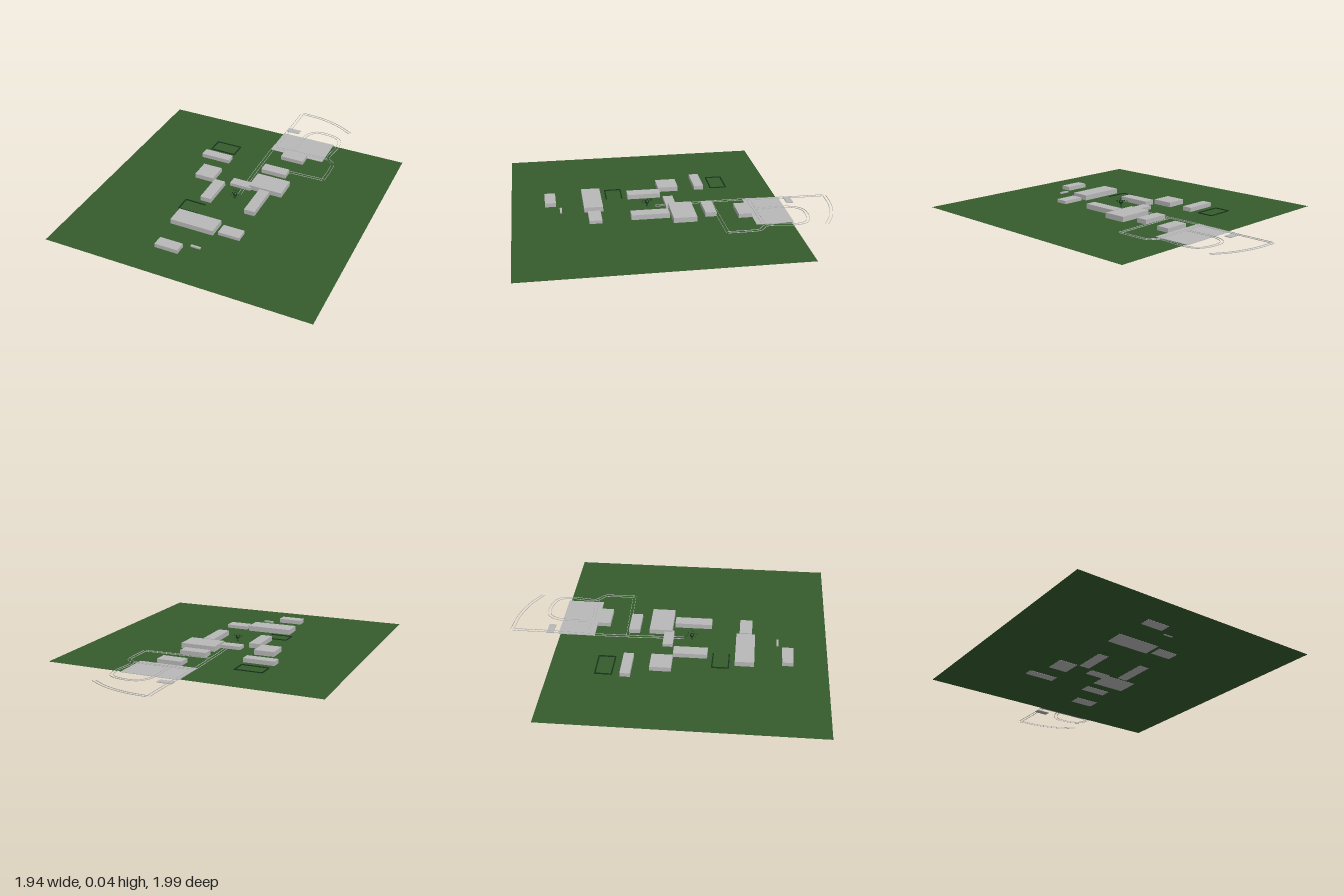
import * as THREE from 'three';

const ANGLE = -0.31; // the whole site is turned by this about y

export function createModel() {
  const model = new THREE.Group();
  model.name = 'campus';
  const mat = (name, color, side = THREE.FrontSide) => {
    const m = new THREE.MeshStandardMaterial({ color, side });
    m.name = name;
    return m;
  };
  const grass = mat('grass green', 0x355c2d, THREE.DoubleSide);
  const concrete = mat('concrete grey', 0xb8b8b8);
  const hedge = mat('dark green', 0x17331a);

  const block = (name, x, z, w, d, h, material = concrete, y = 0, turn = ANGLE) => {
    const mesh = new THREE.Mesh(new THREE.BoxGeometry(w, h, d), material);
    mesh.position.set(x, y + h / 2, z);
    mesh.rotation.y = turn;
    mesh.name = name;
    model.add(mesh);
    return mesh;
  };

  // Lawn
  const lawn = new THREE.Mesh(new THREE.PlaneGeometry(1.54, 1.54).rotateX(-Math.PI / 2), grass);
  lawn.position.set(0, 0.001, 0.025);
  lawn.rotation.y = ANGLE;
  lawn.name = 'lawn';
  model.add(lawn);

  // Buildings: x, z, width, depth, height
  [
    [-0.161, -0.386, 0.18, 0.057, 0.025],
    [-0.188, -0.198, 0.117, 0.12, 0.028],
    [-0.135, -0.018, 0.066, 0.193, 0.028],
    [0.024, -0.11, 0.13, 0.058, 0.02],
    [0.185, -0.111, 0.204, 0.133, 0.031],
    [0.13, 0.066, 0.064, 0.215, 0.03],
    [0.206, -0.267, 0.155, 0.064, 0.027],
    [0.307, -0.431, 0.143, 0.075, 0.025],
    [-0.185, 0.288, 0.26, 0.108, 0.031],
    [0.021, 0.354, 0.127, 0.072, 0.02],
    [-0.296, 0.505, 0.137, 0.063, 0.025],
    [-0.153, 0.492, 0.057, 0.012, 0.01],
  ].forEach((b, i) => block('building' + (i + 1), ...b));

  // Paved yard and the small pad behind it
  block('pavedYard', 0.352, -0.571, 0.338, 0.213, 0.002, concrete, 0.0012);
  block('smallPad', 0.283, -0.759, 0.083, 0.04, 0.004);

  // Thin strip from one ground point to another
  const strip = (name, a, b, width, height, material, y) => {
    const dx = b[0] - a[0], dz = b[1] - a[1];
    block(name, (a[0] + b[0]) / 2, (a[1] + b[1]) / 2, Math.hypot(dx, dz), width, height,
      material, y, -Math.atan2(dz, dx));
  };

  // Hedges: one closed frame and one open on its right side
  const hedgeLine = (name, pts) => {
    for (let i = 1; i < pts.length; i++) strip(name, pts[i - 1], pts[i], 0.007, 0.004, hedge, 0.001);
  };
  hedgeLine('closedHedge', [[-0.182, -0.569], [-0.034, -0.522], [-0.064, -0.433], [-0.211, -0.482], [-0.182, -0.569]]);
  hedgeLine('openHedge', [[-0.16, 0.109], [-0.278, 0.069], [-0.305, 0.157], [-0.187, 0.196]]);

  // Roads marked by a pair of fine kerbs
  const road = (pts, smooth) => {
    let line = pts.map(([x, z]) => new THREE.Vector3(x, 0, z));
    if (smooth) line = new THREE.CatmullRomCurve3(line, false, 'centripetal').getPoints(pts.length * 4);
    for (const side of [-0.009, 0.009]) {
      const edge = line.map((p, i) => {
        const t = line[Math.min(i + 1, line.length - 1)].clone().sub(line[Math.max(i - 1, 0)]).normalize();
        return [p.x - t.z * side, p.z + t.x * side];
      });
      for (let i = 1; i < edge.length; i++) strip('kerb', edge[i - 1], edge[i], 0.0015, 0.003, concrete, 0.002);
    }
  };
  road([[0.643, -0.772], [0.56, -0.862], [0.452, -0.935], [0.33, -0.985]], true);
  road([[0.325, -0.98], [0.267, -0.8], [0.167, -0.524], [0.08, -0.24], [0.02, -0.02]], false);
  road([[0.31, -0.53], [0.37, -0.71], [0.43, -0.755], [0.53, -0.725], [0.575, -0.68], [0.57, -0.6],
    [0.515, -0.46], [0.545, -0.4], [0.535, -0.35], [0.495, -0.225]], true);
  road([[0.495, -0.225], [0.125, -0.33]], false);
  road([[0.19, -0.545], [0.51, -0.45]], false);

  // Small tree in the courtyard with loose leaf clusters
  const crown = new THREE.Mesh(new THREE.IcosahedronGeometry(0.012, 1), hedge);
  crown.position.set(0, 0.03, 0.022);
  crown.name = 'treeCrown';
  model.add(crown);
  const trunk = new THREE.Mesh(new THREE.CylinderGeometry(0.002, 0.003, 0.025, 8), hedge);
  trunk.position.set(0, 0.0125, 0.022);
  trunk.name = 'treeTrunk';
  model.add(trunk);
  for (let i = 0; i < 10; i++) {
    const a = i * 2.4, r = 0.015 + 0.003 * i;
    block('leaf', Math.cos(a) * r * 0.6, 0.02 + Math.sin(a) * r, 0.004, 0.004, 0.004, hedge, 0.03 + (i % 3) * 0.004);
  }
  return model;
}
